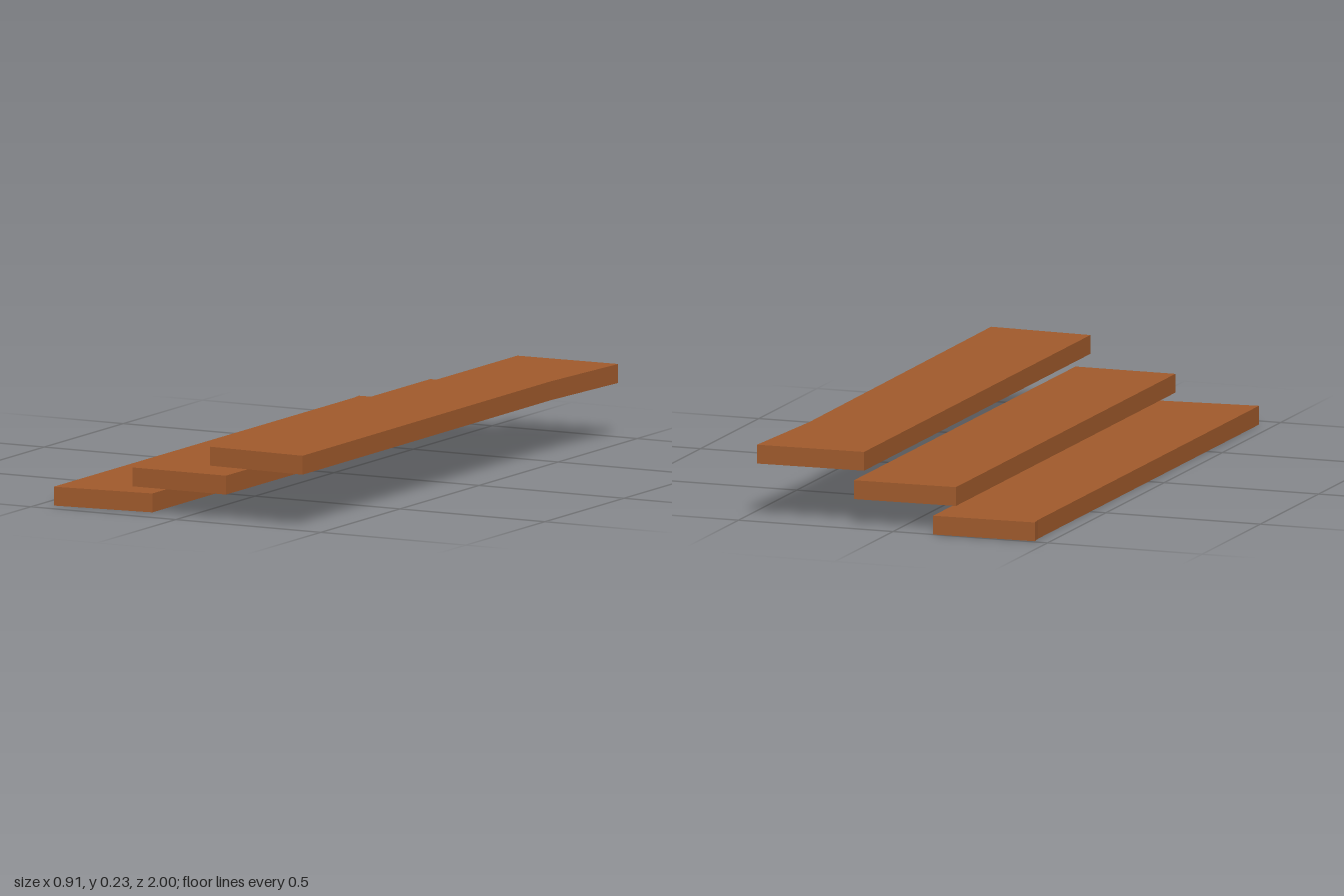
import * as THREE from 'three';

const THICKNESS = 0.058;

// Plank outlines as [x, z] corners, with the height of each underside
const PLANKS = [
  { name: 'lowerPlank', y: 0, outline: [[-0.45, 0.947], [-0.127, 0.916], [-0.13, -1], [-0.455, -0.99], [-0.45, -0.95]] },
  { name: 'middlePlank', y: 0.08, outline: [[-0.18, 0.945], [0.143, 0.945], [0.147, -0.946], [-0.18, -0.938]] },
  { name: 'upperPlank', y: 0.172, outline: [[0.11, 0.985], [0.437, 1], [0.429, -0.58], [0.453, -0.966], [0.11, -0.957]] },
];

export function createModel() {
  const group = new THREE.Group();
  group.name = 'steppedPlanks';
  const wood = new THREE.MeshStandardMaterial({ color: 0xa05a2c });
  wood.name = 'brown wood';

  for (const { name, y, outline } of PLANKS) {
    // Draw the outline flat, extrude its thickness, then lay it down
    const shape = new THREE.Shape(outline.map(([x, z]) => new THREE.Vector2(x, -z)));
    const geometry = new THREE.ExtrudeGeometry(shape, { depth: THICKNESS, bevelEnabled: false });
    geometry.rotateX(-Math.PI / 2);
    const plank = new THREE.Mesh(geometry, wood);
    plank.name = name;
    plank.position.y = y;
    group.add(plank);
  }
  return group;
}
